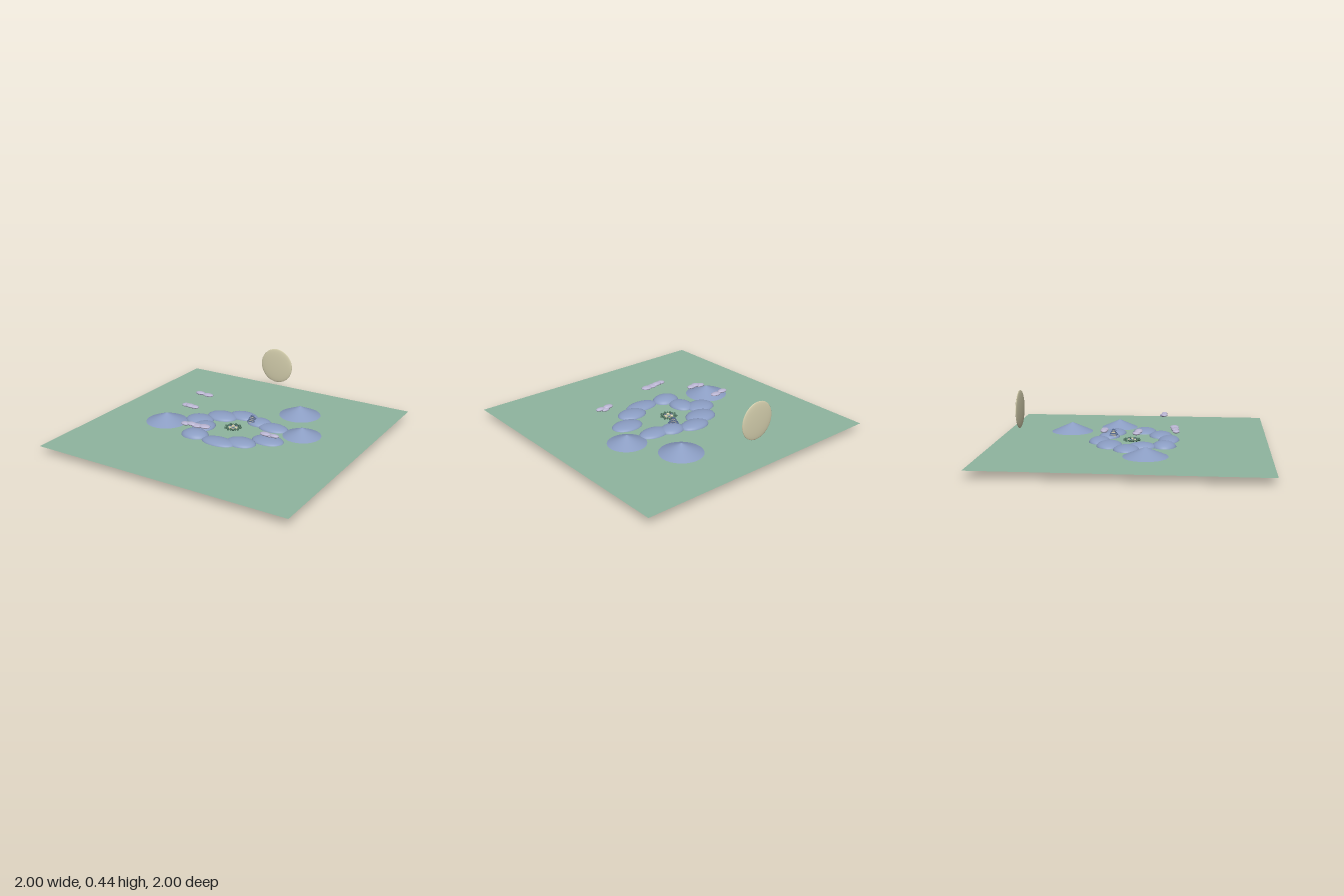
import * as THREE from 'three';

const mat = (name, color, side = THREE.FrontSide) => {
  const m = new THREE.MeshStandardMaterial({ color, side });
  m.name = name;
  return m;
};

export function createModel() {
  const model = new THREE.Group();
  model.name = 'valleyLandscape';
  const GROUND = 0.054;

  const meadow = mat('meadowGreen', 0x8fb59f, THREE.DoubleSide);
  const slate = mat('hillBlue', 0x8b9dc3);
  const lavender = mat('cloudLavender', 0xbab5d2);
  const pale = mat('sunCream', 0xd8d2b0);
  const cream = mat('wallCream', 0xe0d6b4);
  const roof = mat('roofBlue', 0x56698f);
  const leaf = mat('leafGreen', 0x4a6f5c);

  const add = (parent, name, geometry, material, x, y, z) => {
    const mesh = new THREE.Mesh(geometry, material);
    mesh.name = name;
    mesh.position.set(x, y, z);
    parent.add(mesh);
    return mesh;
  };
  const group = (name) => {
    const g = new THREE.Group();
    g.name = name;
    model.add(g);
    return g;
  };
  const ball = new THREE.SphereGeometry(1, 32, 20);
  const blob = (parent, name, material, x, y, z, rx, ry, rz) =>
    add(parent, name, ball, material, x, y, z).scale.set(rx, ry, rz);

  // Ground sheet
  add(model, 'ground', new THREE.PlaneGeometry(2, 2).rotateX(-Math.PI / 2), meadow, 0, GROUND, 0);

  // Conical mountains, feet sunk just under the ground: x, z, radius, peak height
  const mountains = group('mountains');
  for (const [x, z, r, top] of [
    [-0.506, 0.139, 0.184, 0.122],
    [0.503, -0.144, 0.167, 0.117],
    [0.305, -0.496, 0.184, 0.127],
  ]) {
    const h = top - 0.043;
    add(mountains, 'mountain', new THREE.ConeGeometry(r, h, 48), slate, x, 0.043 + h / 2, z);
  }

  // Ring of rounded hills: x, z, half width, half depth, half height
  const hills = group('hillRing');
  for (const [x, z, rx, rz, ry] of [
    [-0.048, -0.235, 0.12, 0.08, 0.036],
    [-0.187, -0.147, 0.125, 0.095, 0.038],
    [-0.305, -0.013, 0.112, 0.094, 0.035],
    [-0.203, 0.09, 0.085, 0.104, 0.036],
    [-0.176, 0.248, 0.108, 0.09, 0.047],
    [0.043, 0.273, 0.135, 0.078, 0.031],
    [0.19, 0.203, 0.117, 0.088, 0.035],
    [0.337, 0.07, 0.123, 0.09, 0.031],
    [0.262, -0.147, 0.12, 0.08, 0.033],
    [0.123, -0.184, 0.096, 0.08, 0.038],
  ]) blob(hills, 'hill', slate, x, ry === 0.047 ? 0.047 : 0.051, z, rx, ry, rz);

  // Clouds made of flat puffs: each puff is x, y, z, half width, half depth
  const clouds = {
    backCloud: [[-0.395, 0.206, -0.158, 0.039, 0.025], [-0.326, 0.201, -0.162, 0.043, 0.027]],
    sideCloud: [[-0.37, 0.187, 0.066, 0.038, 0.028], [-0.332, 0.193, 0.078, 0.037, 0.028],
      [-0.295, 0.19, 0.077, 0.038, 0.025]],
    frontCloud: [[-0.198, 0.169, 0.335, 0.034, 0.026], [-0.15, 0.173, 0.326, 0.042, 0.026],
      [-0.105, 0.168, 0.324, 0.045, 0.03], [-0.045, 0.171, 0.316, 0.044, 0.032]],
    farCloud: [[0.398, 0.177, 0.218, 0.04, 0.026], [0.433, 0.169, 0.206, 0.034, 0.026],
      [0.468, 0.176, 0.216, 0.036, 0.022]],
  };
  for (const [name, puffs] of Object.entries(clouds)) {
    const cloud = group(name);
    for (const [x, y, z, rx, rz] of puffs) blob(cloud, 'puff', lavender, x, y, z, rx, 0.012, rz);
  }

  // Lens-shaped sun standing at the back
  blob(model, 'sun', pale, -0.085, 0.294, -0.822, 0.141, 0.141, 0.012);

  // Tiered pagoda on the inner slope
  const pagoda = group('pagoda');
  pagoda.position.set(0.079, 0.07, -0.147);
  for (let i = 0; i < 4; i++) {
    const w = 0.058 - i * 0.011;
    add(pagoda, 'storey', new THREE.BoxGeometry(w * 0.72, 0.008, w * 0.72), cream, 0, 0.004 + i * 0.012, 0);
    add(pagoda, 'roof', new THREE.BoxGeometry(w, 0.004, w), roof, 0, 0.01 + i * 0.012, 0);
  }
  add(pagoda, 'spire', new THREE.ConeGeometry(0.004, 0.01, 8), roof, 0, 0.053, 0);

  // Small village in the middle, circled by trees
  const village = group('village');
  const tree = new THREE.IcosahedronGeometry(0.009, 1);
  for (let i = 0; i < 18; i++) {
    const a = (i / 18) * Math.PI * 2;
    const r = i % 2 ? 0.057 : 0.047;
    add(village, 'tree', tree, leaf, Math.cos(a) * r, GROUND + 0.008, Math.sin(a) * r);
  }
  for (let i = 0; i < 6; i++) {
    const a = (i / 6) * Math.PI * 2;
    const x = Math.cos(a) * 0.026, z = Math.sin(a) * 0.026;
    add(village, 'house', new THREE.BoxGeometry(0.014, 0.012, 0.014), cream, x, GROUND + 0.006, z);
    const cap = add(village, 'houseRoof', new THREE.ConeGeometry(0.011, 0.007, 4), i % 2 ? roof : cream,
      x, GROUND + 0.0155, z);
    cap.rotation.y = Math.PI / 4;
  }
  return model;
}
